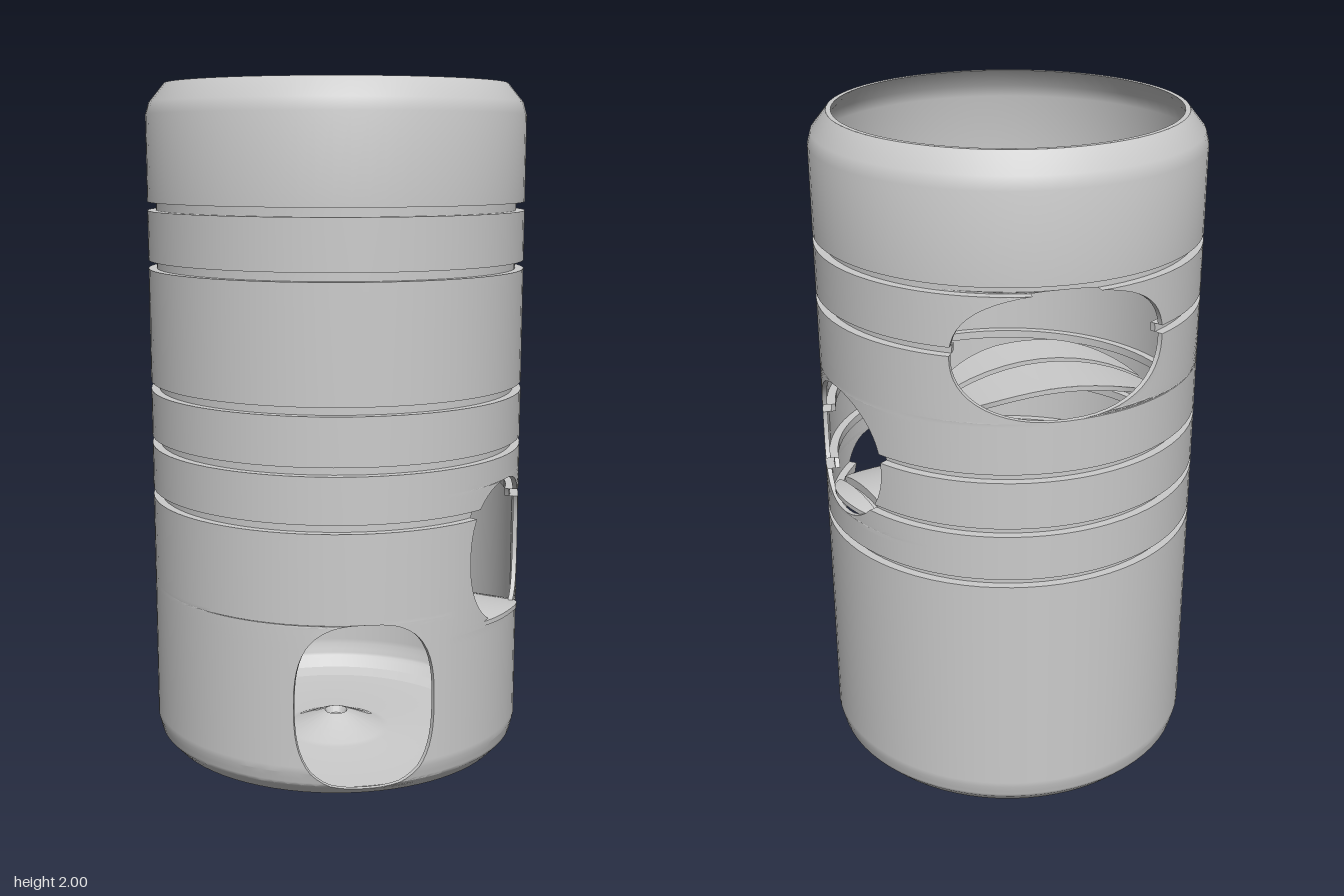
import * as THREE from 'three';
import { toCreasedNormals } from 'three/addons/utils/BufferGeometryUtils.js';

const RAD = Math.PI / 180, R = 0.56, GROOVE = 0.535, WALL = 0.014;

// Openings: centre angle (0 = front, 90 = +x), half width, bottom, top, squareness, flap hinge radius
const holes = [
  { name: 'lowerOpening', a: 10, half: 21, y0: 0.03, y1: 0.52, p: 2.7, hinge: 0 },
  { name: 'middleOpening', a: 63.3, half: 19, y0: 0.45, y1: 0.87, p: 2.3, hinge: 0.585 },
  { name: 'upperOpening', a: 128, half: 21, y0: 0.88, y1: 1.27, p: 2.1, hinge: 0.56 },
  { name: 'backOpening', a: 204, half: 32, y0: 1.28, y1: 1.64, p: 2.3, hinge: 0.53 },
];

// Angular half width of an opening at height y
function halfWidth(h, y) {
  const s = Math.abs((2 * y - h.y0 - h.y1) / (h.y1 - h.y0));
  return s >= 1 ? 0 : h.half * Math.pow(1 - Math.pow(s, h.p), 1 / h.p);
}

// Wall profile as [radius, height], with square grooves
const profile = [[0.47, 0], [0.52, 0.012], [0.55, 0.045], [R, 0.085]];
for (const y of [0.78, 0.94, 1.105, 1.465, 1.635])
  profile.push([R, y], [GROOVE, y], [GROOVE, y + 0.025], [R, y + 0.025]);
profile.push([R, 1.91], [0.55, 1.945], [0.505, 2]);

// Rows of the wall: profile points plus extra heights that follow the opening outlines
function makeRows() {
  const extra = [];
  for (const h of holes)
    for (let i = 0; i <= 28; i++)
      extra.push((h.y0 + h.y1) / 2 - (h.y1 - h.y0) / 2 * Math.cos(Math.PI * i / 28));
  extra.sort((a, b) => a - b);
  const rows = [profile[0]];
  for (let i = 1; i < profile.length; i++) {
    const [r0, y0] = profile[i - 1], [r1, y1] = profile[i];
    for (const y of extra)
      if (y > y0 + 1e-4 && y < y1 - 1e-4 && y - rows[rows.length - 1][1] > 1e-4)
        rows.push([r0 + (r1 - r0) * (y - y0) / (y1 - y0), y]);
    rows.push([r1, y1]);
  }
  return rows;
}
const rows = makeRows();

// Quad grid from a point function (row, column)
function grid(out, nRows, nCols, point, flip = false) {
  for (let i = 0; i < nRows; i++)
    for (let j = 0; j < nCols; j++) {
      const a = point(i, j), b = point(i, j + 1), c = point(i + 1, j + 1), d = point(i + 1, j);
      const tris = flip ? [a, c, b, a, d, c] : [a, b, c, a, c, d];
      for (let k = 0; k < 6; k += 3) {
        const [p, q, r] = tris.slice(k, k + 3);
        if (p.distanceTo(q) > 1e-6 && q.distanceTo(r) > 1e-6 && r.distanceTo(p) > 1e-6)
          for (const v of [p, q, r]) out.push(v.x, v.y, v.z);
      }
    }
}

function toGeometry(positions) {
  const g = new THREE.BufferGeometry();
  g.setAttribute('position', new THREE.Float32BufferAttribute(positions, 3));
  return toCreasedNormals(g, 0.5);
}

const polar = (deg, r, y) =>
  new THREE.Vector3(r * Math.sin(deg * RAD), y, r * Math.cos(deg * RAD));

// Sheet with thickness between two edge angles, closed along both side edges
function sheet(out, list, nCols, left, right, place, rims) {
  const at = (inset) => (i, j) => {
    const [r, y] = list[i], a = left(y);
    return place(a + (right(y) - a) * j / nCols, r - inset, y);
  };
  const outer = at(0), inner = at(WALL), n = list.length - 1;
  grid(out, n, nCols, outer);
  grid(out, n, nCols, inner, true);
  const rim = (col, flip) => grid(out, n, 1, (i, j) => (j ? inner : outer)(i, col), flip);
  if (rims.includes('left')) rim(0, true);
  if (rims.includes('right')) rim(nCols, false);
}

export function createModel() {
  const model = new THREE.Group();
  const grey = new THREE.MeshStandardMaterial({ color: 0xcccccc, side: THREE.DoubleSide });
  const tan = new THREE.MeshStandardMaterial({ color: 0xcdb682 });
  const add = (name, geometry, material = grey) => {
    const mesh = new THREE.Mesh(geometry, material);
    mesh.name = name;
    model.add(mesh);
    return mesh;
  };

  // Can wall: one sector per opening, each split into a strip on either side
  const wall = [];
  const bounds = [-71.5, 37.5, 94.5, 160.5, 288.5];
  holes.forEach((h, k) => {
    const from = bounds[k], to = bounds[k + 1];
    const cols = (span) => Math.max(5, Math.ceil(span / 5));
    sheet(wall, rows, cols(h.a - from), () => from, (y) => h.a - halfWidth(h, y), polar, 'right');
    sheet(wall, rows, cols(to - h.a), (y) => h.a + halfWidth(h, y), () => to, polar, 'left');
  });
  // Top rim between the outer and inner skin
  grid(wall, 1, 72, (i, j) => polar(j * 5, 0.505 - i * WALL, 2));
  add('canWall', toGeometry(wall));

  // Flaps cut from the wall and folded inwards at the bottom of the opening
  for (const h of holes) {
    if (!h.hinge) continue;
    const list = rows.filter(([, y]) => y >= h.y0 - 1e-6 && y <= h.y1 + 1e-6);
    const chord = R * Math.cos(h.half * RAD);
    const dir = polar(h.a, 1, 0), side = polar(h.a + 90, 1, 0);
    const fold = (deg, r, y) => {
      const p = dir.clone().multiplyScalar(h.hinge - (y - h.y0));
      p.addScaledVector(side, r * Math.sin(deg * RAD));
      p.y = h.y0 + r * Math.cos(deg * RAD) - chord;
      return p;
    };
    const flap = [];
    sheet(flap, list, 12, (y) => -halfWidth(h, y), (y) => halfWidth(h, y), fold, 'left right');
    add(h.name + 'Flap', toGeometry(flap));
  }

  // Floor with a raised dimple and a small nub in the middle
  const floor = [[0, 0.03], [0.025, 0.035], [0.035, 0.055], [0.06, 0.045], [0.15, 0.003], [0.17, 0], [0.47, 0]]
    .map(([x, y]) => new THREE.Vector2(x, y));
  add('floor', toCreasedNormals(new THREE.LatheGeometry(floor, 72), 0.5));

  // Round board near the top with two straight cuts
  const board = new THREE.Shape();
  board.absarc(0, 0, 0.515, -30 * RAD, 63 * RAD, false);
  board.absarc(0, 0, 0.515, 186.5 * RAD, 294 * RAD, false);
  board.closePath();
  const boardGeometry = new THREE.ExtrudeGeometry(board, { depth: 0.11, bevelEnabled: false, curveSegments: 28 });
  boardGeometry.rotateX(-Math.PI / 2);
  add('topBoard', toCreasedNormals(boardGeometry, 0.5), tan).position.y = 1.6;

  return model;
}
